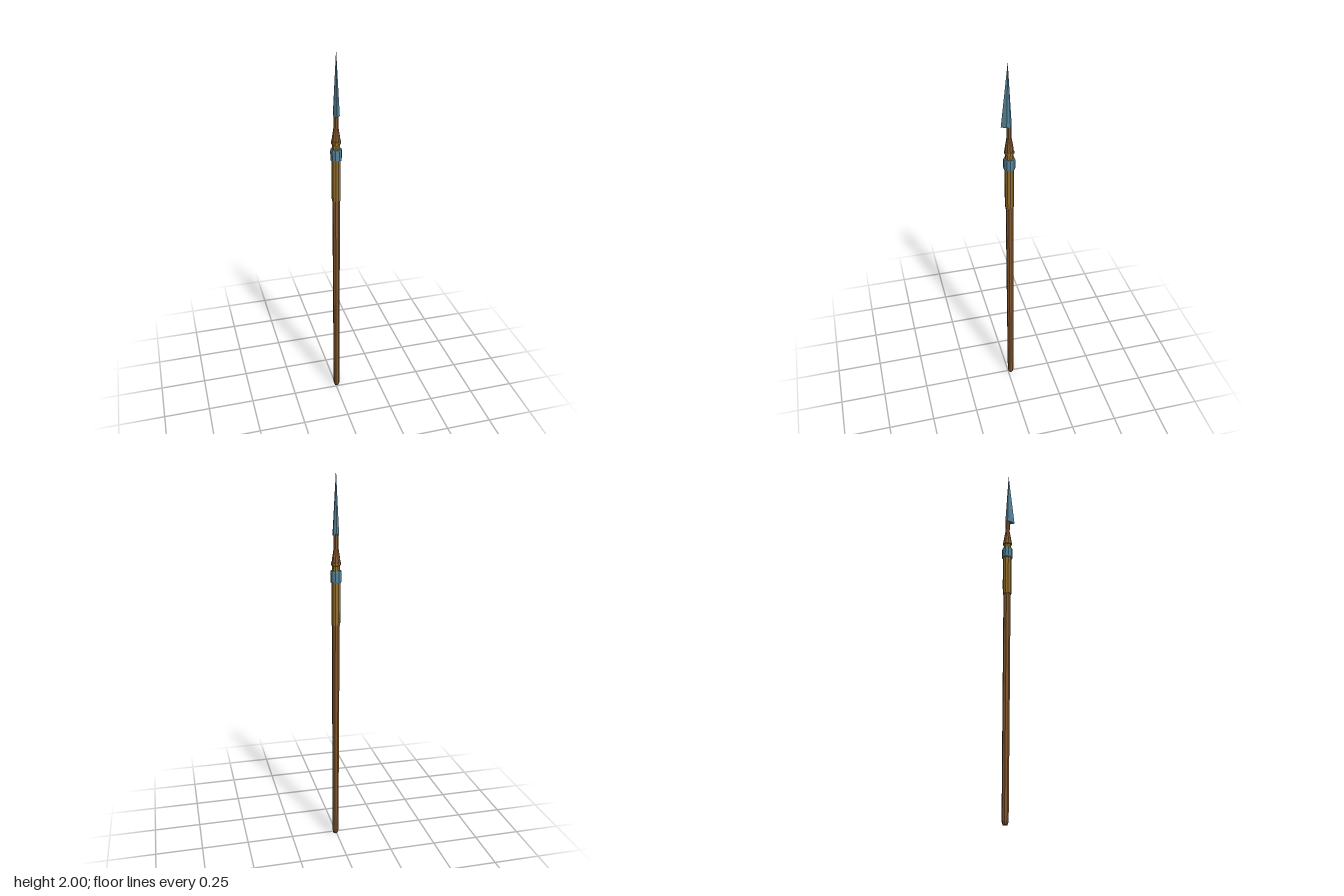
import * as THREE from 'three';

const material = (name, color) => {
  const m = new THREE.MeshStandardMaterial({ color, flatShading: true });
  m.name = name;
  return m;
};

// The pole leans very slightly: centre of the axis at a given height
const lean = (y) => [0.005 - 0.0037 * y, -0.015 + 0.006 * y];

// Faceted turned part; profile is [radius, height] from bottom to top
function turned(name, mat, profile, sides = 8) {
  const pts = profile.map(([r, y]) => new THREE.Vector2(r, y));
  const geo = new THREE.LatheGeometry(pts, sides, Math.PI / sides).toNonIndexed();
  const p = geo.attributes.position;
  for (let i = 0; i < p.count; i++) {
    const [cx, cz] = lean(p.getY(i));
    p.setX(i, p.getX(i) + cx);
    p.setZ(i, p.getZ(i) + cz);
  }
  geo.computeVertexNormals();
  const mesh = new THREE.Mesh(geo, mat);
  mesh.name = name;
  return mesh;
}

// Pointed blade: an uneven hexagonal base drawn up to one tip
function blade(mat) {
  const base = [[-0.005, 0.034], [0.014, 0.01], [0.014, -0.008], [0, -0.018], [-0.016, -0.008], [-0.017, 0.01]];
  const low = base.map(([x, z]) => [x, 1.68 - 0.1 * z, z]);
  const tip = [-0.002, 2, 0.001];
  const mid = [-0.001, 1.68, 0];
  const v = [];
  low.forEach((a, i) => {
    const b = low[(i + 1) % low.length];
    v.push(...a, ...b, ...tip, ...b, ...a, ...mid);
  });
  const geo = new THREE.BufferGeometry();
  geo.setAttribute('position', new THREE.Float32BufferAttribute(v, 3));
  geo.computeVertexNormals();
  const mesh = new THREE.Mesh(geo, mat);
  mesh.name = 'blade';
  return mesh;
}

export function createModel() {
  const wood = material('brown wood', 0x83582f);
  const gold = material('golden brown binding', 0x96702c);
  const steel = material('blue steel', 0x57849a);

  const group = new THREE.Group();
  group.name = 'spear';
  group.add(
    // Long shaft with a blunt rounded foot
    turned('shaft', wood, [[0, 0], [0.012, 0.001], [0.017, 0.018], [0.0185, 0.6], [0.0195, 1.24], [0, 1.24]]),
    // Sleeve that grips the top of the shaft
    turned('sleeve', gold, [[0, 1.22], [0.023, 1.222], [0.024, 1.3], [0.024, 1.45], [0, 1.45]], 10),
    // Steel collar
    turned('collar', steel, [[0, 1.445], [0.0275, 1.445], [0.0295, 1.452], [0.0295, 1.498], [0.0275, 1.505], [0, 1.505]], 10),
    // Binding above the collar with a raised ring
    turned('binding', gold, [[0, 1.5], [0.02, 1.5], [0.02, 1.53], [0.025, 1.533], [0.025, 1.546], [0, 1.548]], 10),
    // Tapered socket and neck below the blade
    turned('socket', wood, [[0, 1.54], [0.023, 1.545], [0.021, 1.565], [0.013, 1.615], [0, 1.615]], 10),
    turned('neck', wood, [[0, 1.6], [0.0125, 1.6], [0.0125, 1.69], [0, 1.69]]),
    blade(steel),
  );
  return group;
}
